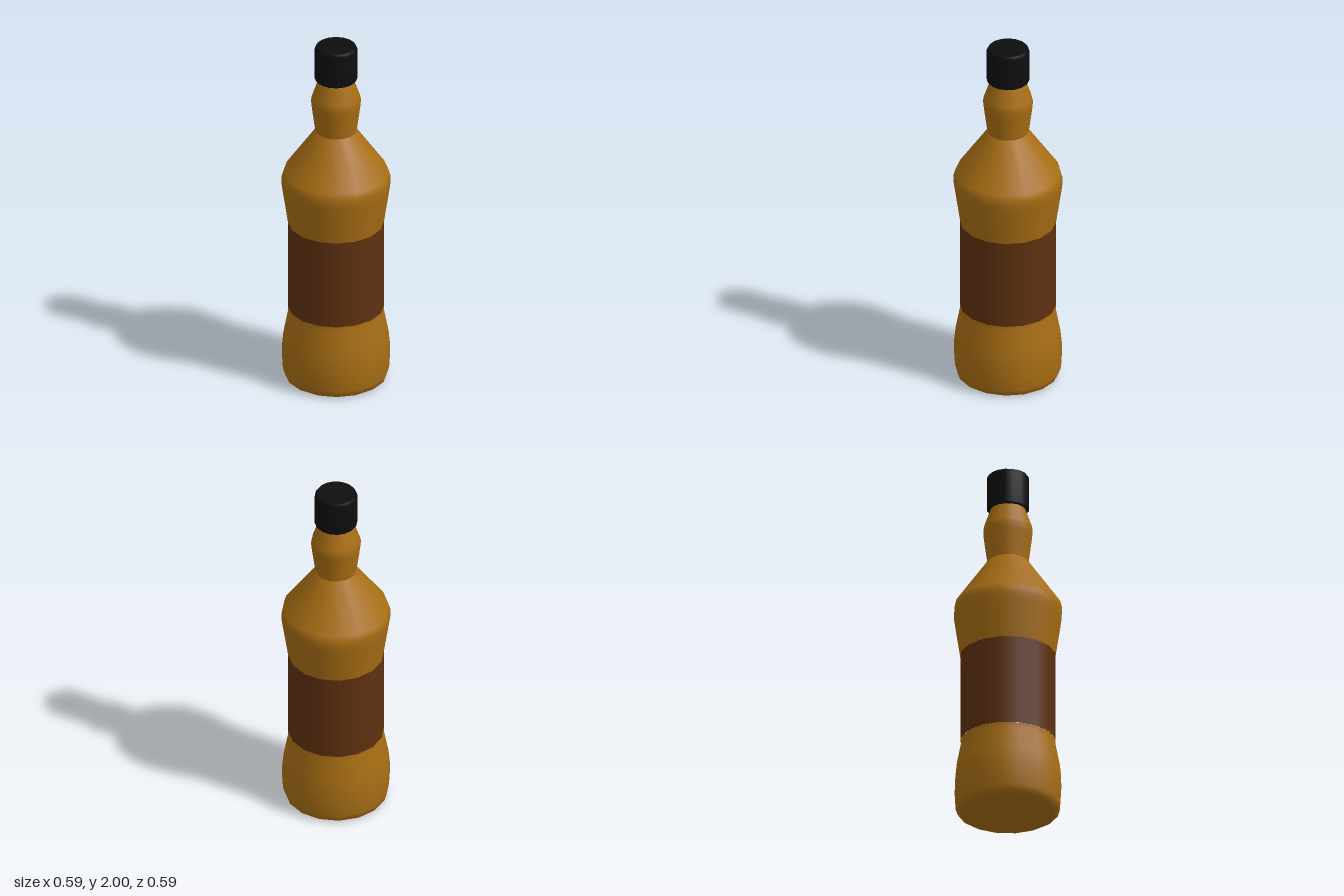
import * as THREE from 'three';

const SIDES = 16;

export function createModel() {
  const bottle = new THREE.Group();
  bottle.name = 'bottle';

  const glass = new THREE.MeshStandardMaterial({ color: 0xa86e14 });
  const paper = new THREE.MeshStandardMaterial({ color: 0x5e3010 });
  const plastic = new THREE.MeshStandardMaterial({ color: 0x0e0e0e });

  // Turn a profile of [radius, height] pairs, listed from bottom to top
  const turn = (name, material, profile) => {
    const points = profile.map(([r, y]) => new THREE.Vector2(r, y));
    const mesh = new THREE.Mesh(new THREE.LatheGeometry(points, SIDES), material);
    mesh.name = name;
    bottle.add(mesh);
  };

  // Flat underside, kept apart from the wall for a sharp edge
  turn('base', glass, [[0, 0], [0.255, 0]]);

  // Bulging foot that narrows to the label
  turn('lowerBody', glass, [
    [0.255, 0], [0.275, 0.012], [0.286, 0.045], [0.291, 0.13],
    [0.290, 0.2], [0.283, 0.27], [0.258, 0.4], [0.258, 0.425],
  ]);

  // Straight band around the waist
  turn('label', paper, [[0.259, 0.425], [0.259, 0.935]]);

  // Flare and sloping shoulder
  turn('shoulder', glass, [
    [0.259, 0.935], [0.290, 1.14], [0.295, 1.18], [0.294, 1.21],
    [0.284, 1.245], [0.112, 1.49],
  ]);

  // Swelling neck
  turn('neck', glass, [
    [0.112, 1.49], [0.132, 1.64], [0.135, 1.675], [0.130, 1.7], [0.095, 1.8],
  ]);

  // Cap with softened rims
  turn('capUnderside', plastic, [[0, 1.8], [0.11, 1.8]]);
  turn('capSide', plastic, [[0.11, 1.8], [0.115, 1.806], [0.115, 1.985], [0.106, 2]]);
  turn('capTop', plastic, [[0.106, 2], [0, 2]]);

  return bottle;
}
